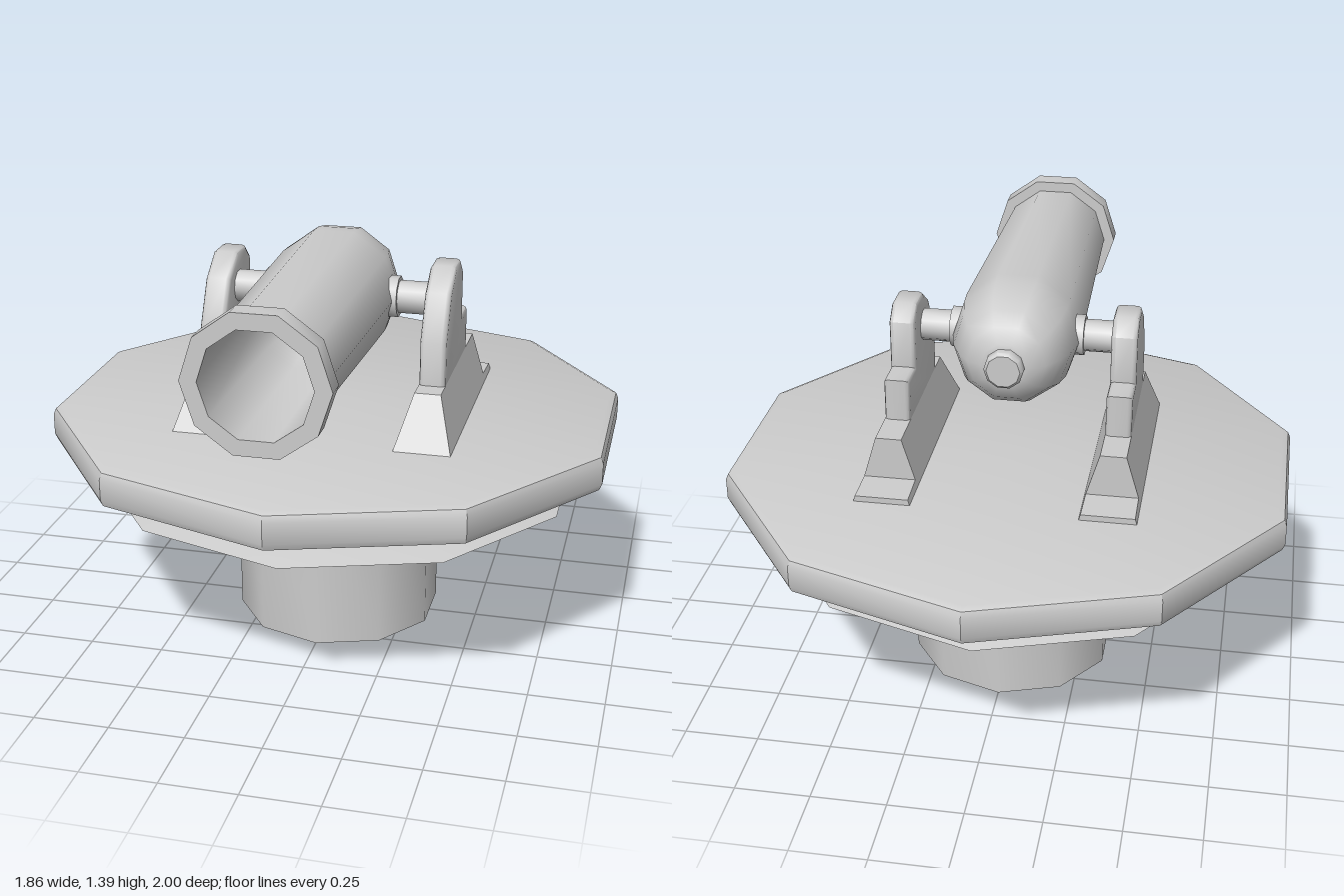
import * as THREE from 'three';
import { toCreasedNormals } from 'three/addons/utils/BufferGeometryUtils.js';

const SIDES = 10;
const AXIS_Y = 1.18; // height of the barrel axis

const material = new THREE.MeshStandardMaterial({ color: 0xcccccc });

function addMesh(parent, name, geometry, crease) {
  const mesh = new THREE.Mesh(toCreasedNormals(geometry, THREE.MathUtils.degToRad(crease)), material);
  mesh.name = name;
  parent.add(mesh);
  return mesh;
}

// Ten-sided turned part from [radius, height] pairs
function turned(points, phi = 0) {
  return new THREE.LatheGeometry(points.map(([r, y]) => new THREE.Vector2(r, y)), SIDES, phi);
}

// Side profile of [z, y] pairs extruded along x and centred on x = 0
function plate(points, width, bevel) {
  const shape = new THREE.Shape(points.map(([z, y]) => new THREE.Vector2(z, y)));
  const geometry = new THREE.ExtrudeGeometry(shape, {
    depth: width - 2 * bevel,
    bevelEnabled: bevel > 0,
    bevelThickness: bevel,
    bevelSize: bevel,
    bevelOffset: -bevel,
    bevelSegments: 2,
  });
  geometry.translate(0, 0, -(width - 2 * bevel) / 2);
  return geometry.rotateY(-Math.PI / 2);
}

// Bracket foot: full width at the deck, narrowing to the plate above
function footGeometry() {
  const geometry = plate([
    [0.41, 0.765], [0.316, 0.94], [-0.316, 0.94],
    [-0.316, 0.795], [-0.44, 0.79], [-0.44, 0.765],
  ], 1, 0);
  const p = geometry.attributes.position;
  for (let i = 0; i < p.count; i++) {
    const t = (p.getY(i) - 0.765) / 0.175;
    p.setX(i, p.getX(i) * THREE.MathUtils.lerp(0.19, 0.086, t));
  }
  return geometry;
}

export function createModel() {
  const model = new THREE.Group();
  model.name = 'cannonTurret';

  // Pedestal, skirt and rotating deck
  const base = new THREE.Group();
  base.name = 'base';
  base.position.z = -0.02;
  model.add(base);
  addMesh(base, 'pedestal', turned([[0, 0], [0.352, 0], [0.352, 0.65], [0, 0.65]]), 40);
  addMesh(base, 'skirt', turned([
    [0.34, 0.615], [0.46, 0.615], [0.83, 0.52], [0.485, 0.63], [0.34, 0.63],
  ]), 40);
  addMesh(base, 'deck', turned([
    [0, 0.64], [0.95, 0.64], [0.971, 0.649], [0.98, 0.67],
    [0.98, 0.74], [0.971, 0.761], [0.95, 0.77], [0, 0.77],
  ]), 30);

  // Barrel: knob, domed breech, tapered tube, muzzle ring and bore
  const barrel = turned([
    [0, -0.25], [0.055, -0.25], [0.065, -0.24], [0.065, -0.215],
    [0.08, -0.212], [0.13, -0.185], [0.168, -0.135], [0.195, -0.075], [0.211, 0], [0.214, 0.06],
    [0.188, 0.93], [0.225, 0.93], [0.225, 1.0], [0.172, 1.0],
    [0.165, 0.4], [0.12, 0.3], [0, 0.26],
  ], Math.PI / 2).rotateX(Math.PI / 2);
  addMesh(model, 'barrel', barrel, 45).position.y = AXIS_Y;

  // Trunnions and brackets on both sides
  const upright = [
    [0.243, 0.9], [0.243, 1.085], [0.166, 1.23], [0.075, 1.295], [-0.02, 1.295],
    [-0.075, 1.245], [-0.075, 1.085], [-0.18, 1.085], [-0.18, 0.9],
  ];
  for (const [side, s] of [['left', 1], ['right', -1]]) {
    const pin = new THREE.CylinderGeometry(0.054, 0.054, 0.2, SIDES).rotateZ(Math.PI / 2);
    addMesh(model, side + 'Trunnion', pin, 40).position.set(s * 0.25, AXIS_Y, 0.07);
    const collar = new THREE.CylinderGeometry(0.068, 0.068, 0.06, SIDES).rotateZ(Math.PI / 2);
    addMesh(model, side + 'TrunnionCollar', collar, 40).position.set(s * 0.195, AXIS_Y, 0.07);

    const bracket = new THREE.Group();
    bracket.name = side + 'Bracket';
    bracket.position.x = s * 0.368;
    model.add(bracket);
    addMesh(bracket, side + 'Upright', plate(upright, 0.086, 0.015), 50);
    addMesh(bracket, side + 'Foot', footGeometry(), 20);
  }

  return model;
}
